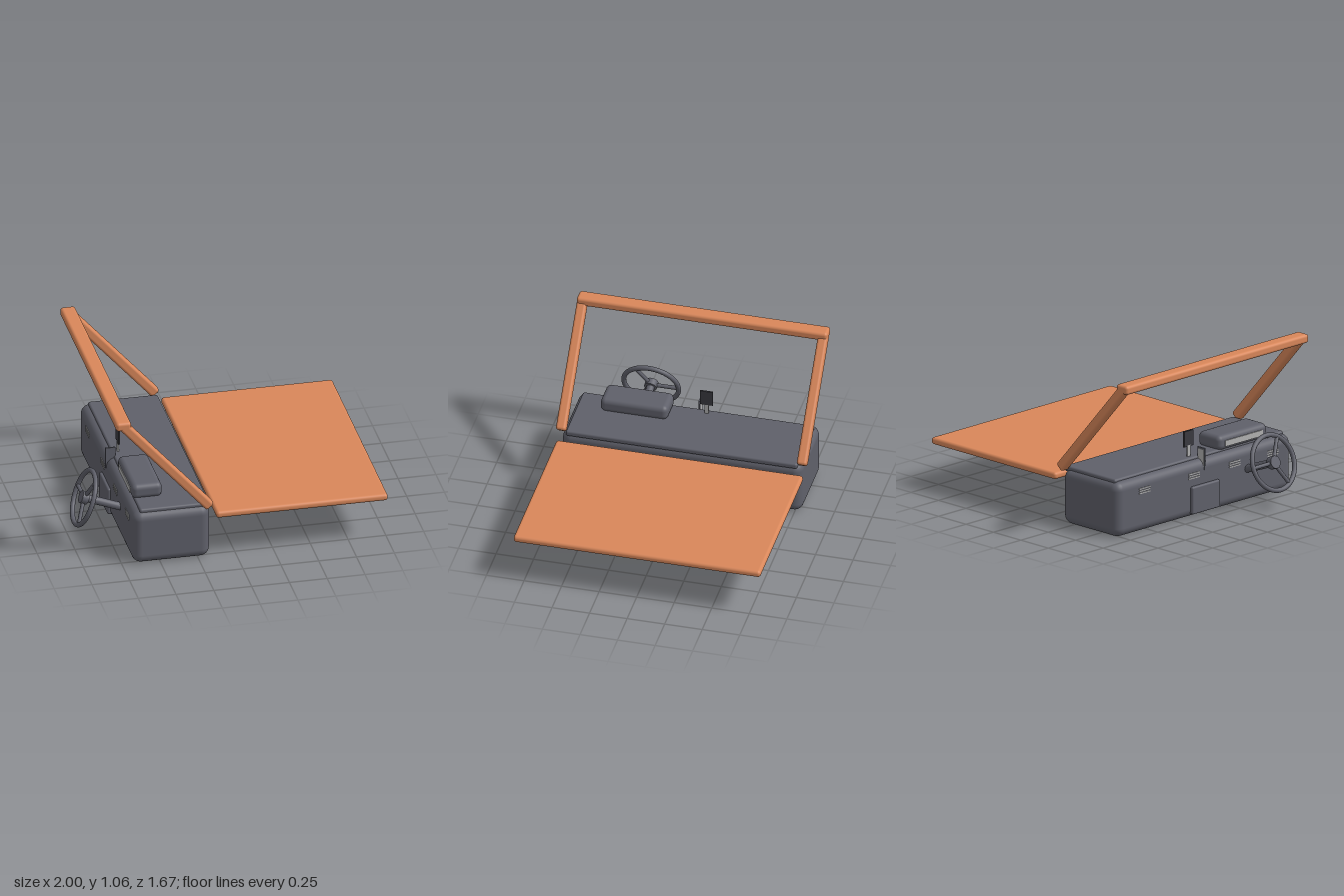
import * as THREE from 'three';
import { RoundedBoxGeometry } from 'three/addons/geometries/RoundedBoxGeometry.js';

const material = (name, color) => Object.assign(new THREE.MeshStandardMaterial({ color }), { name });

export function createModel() {
  const model = new THREE.Group();
  model.name = 'dashboardAssembly';
  const orange = material('orange paint', 0xd9875a);
  const grey = material('dark grey plastic', 0x5f606a);
  const dark = material('screen black', 0x3a3a40);
  const light = material('light grey trim', 0xb0b0b0);

  const add = (name, geometry, mat, parent = model) => {
    const mesh = new THREE.Mesh(geometry, mat);
    mesh.name = name;
    parent.add(mesh);
    return mesh;
  };

  // Box given by its limits, rounded when r > 0
  const box = (name, mat, [x0, x1], [y0, y1], [z0, z1], r = 0) => {
    const size = [x1 - x0, y1 - y0, z1 - z0];
    const geometry = r ? new RoundedBoxGeometry(...size, 4, r) : new THREE.BoxGeometry(...size);
    const mesh = add(name, geometry, mat);
    mesh.position.set((x0 + x1) / 2, (y0 + y1) / 2, (z0 + z1) / 2);
    return mesh;
  };

  // Round rod between two points
  const rod = (name, a, b, r, parent = model) => {
    const dir = b.clone().sub(a);
    const mesh = add(name, new THREE.CylinderGeometry(r, r, dir.length(), 20), grey, parent);
    mesh.position.copy(a).add(b).multiplyScalar(0.5);
    mesh.quaternion.setFromUnitVectors(new THREE.Vector3(0, 1, 0), dir.normalize());
    return mesh;
  };

  // Dashboard body, its top pad and the flat panel beyond it
  box('dashboardBody', grey, [-0.68, -0.17], [0, 0.37], [-0.8, 0.8], 0.06);
  box('dashboardTop', grey, [-0.63, -0.168], [0.345, 0.385], [-0.77, 0.77], 0.014);
  box('flatPanel', orange, [-0.135, 1], [0.288, 0.335], [-0.822, 0.822], 0.02);

  // Windscreen frame: header and two sloping pillars
  box('frameHeader', orange, [-0.8, -0.7], [1.0, 1.06], [-0.835, 0.835], 0.02);
  const low = new THREE.Vector2(-0.175, 0.38), high = new THREE.Vector2(-0.755, 1.035);
  const slope = high.clone().sub(low);
  for (const side of [-1, 1]) {
    const pillar = add(side > 0 ? 'frontPillar' : 'rearPillar',
      new RoundedBoxGeometry(0.066, slope.length(), 0.066, 4, 0.018), orange);
    pillar.position.set((low.x + high.x) / 2, (low.y + high.y) / 2, side * 0.802);
    pillar.rotation.z = Math.atan2(slope.y, slope.x) - Math.PI / 2;
  }

  // Instrument hood with a trim strip facing the driver
  box('instrumentHood', grey, [-0.645, -0.445], [0.375, 0.475], [0.165, 0.612], 0.035);
  box('instrumentStrip', light, [-0.65, -0.643], [0.4, 0.44], [0.22, 0.56]);

  // Centre console, selector plate and screen on its post
  box('centreConsole', grey, [-0.7, -0.66], [0.025, 0.21], [-0.13, 0.125], 0.012);
  box('selectorPlate', grey, [-0.685, -0.62], [0.3, 0.445], [-0.009, 0.001]);
  box('selectorTrim', light, [-0.68, -0.63], [0.32, 0.435], [-0.012, -0.009]);
  box('screenPost', light, [-0.597, -0.585], [0.38, 0.46], [-0.074, -0.05]);
  box('screen', dark, [-0.596, -0.584], [0.452, 0.556], [-0.104, -0.018]);

  // Air vents made of slats
  for (const z of [-0.55, -0.1, 0.27, 0.62])
    for (let i = 0; i < 3; i++) {
      const y = 0.262 + i * 0.015;
      box('ventSlat', light, [-0.684, -0.678], [y, y + 0.008], [z - 0.05, z + 0.05]);
    }

  // Steering wheel, built facing its own +z and tilted onto the column
  const axis = new THREE.Vector3(0.934, -0.358, 0);
  const wheel = new THREE.Group();
  wheel.name = 'steeringWheel';
  wheel.position.set(-0.915, 0.313, 0.39);
  const across = new THREE.Vector3(0, 0, 1);
  const up = new THREE.Vector3().crossVectors(axis, across).negate();
  wheel.quaternion.setFromRotationMatrix(
    new THREE.Matrix4().makeBasis(across, up, new THREE.Vector3().crossVectors(across, up)));
  model.add(wheel);
  add('wheelRim', new THREE.TorusGeometry(0.182, 0.016, 14, 56), grey, wheel);
  const hub = add('wheelHub', new THREE.CylinderGeometry(0.042, 0.042, 0.045, 28), grey, wheel);
  hub.rotation.x = Math.PI / 2;
  for (let i = 0; i < 3; i++) {
    const a = Math.PI + i * Math.PI * 2 / 3;
    rod('wheelSpoke', new THREE.Vector3(),
      new THREE.Vector3(Math.cos(a) * 0.182, Math.sin(a) * 0.182, 0), 0.013, wheel);
  }
  rod('steeringColumn', wheel.position.clone(),
    wheel.position.clone().addScaledVector(axis, 0.29), 0.026);

  return model;
}
